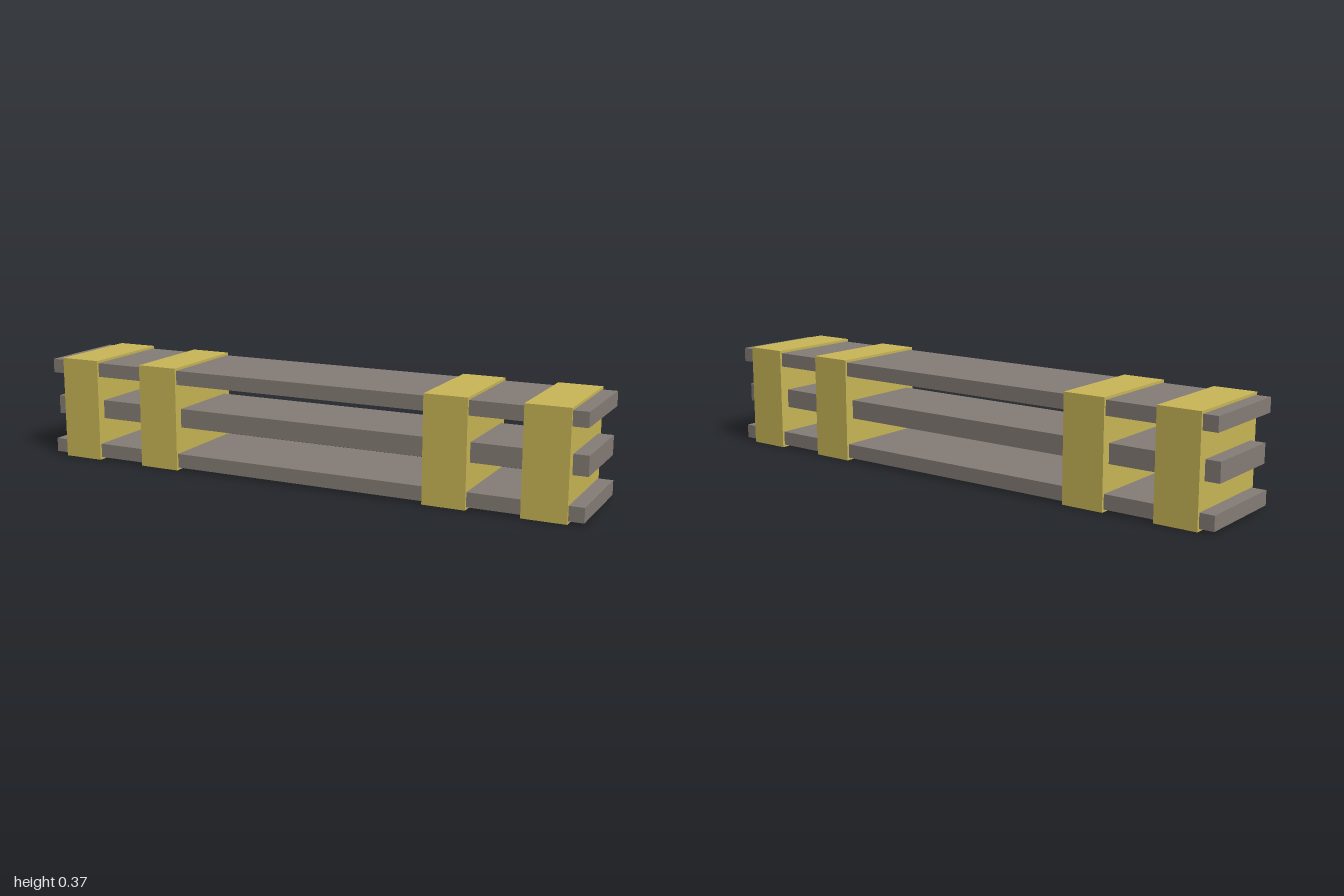
import * as THREE from 'three';

export function createModel() {
  const model = new THREE.Group();
  const plankGrey = new THREE.MeshStandardMaterial({ color: 0x857c76 });
  const bandYellow = new THREE.MeshStandardMaterial({ color: 0xc9b656 });

  const addBox = (name, material, [w, h, d], x, y) => {
    const mesh = new THREE.Mesh(new THREE.BoxGeometry(w, h, d), material);
    mesh.name = name;
    mesh.position.set(x, y, 0);
    model.add(mesh);
  };

  // Three long planks, the middle one thicker and narrower
  addBox('bottomPlank', plankGrey, [2, 0.05, 0.35], 0, 0.034);
  addBox('middlePlank', plankGrey, [2, 0.067, 0.3], 0, 0.184);
  addBox('topPlank', plankGrey, [2, 0.05, 0.35], 0, 0.334);

  // Solid blocks binding the planks, two near each end
  for (const [side, sign] of [['left', 1], ['right', -1]]) {
    addBox(`${side}OuterBand`, bandYellow, [0.15, 0.368, 0.367], sign * 0.874, 0.184);
    addBox(`${side}InnerBand`, bandYellow, [0.15, 0.368, 0.367], sign * 0.542, 0.184);
  }
  return model;
}
